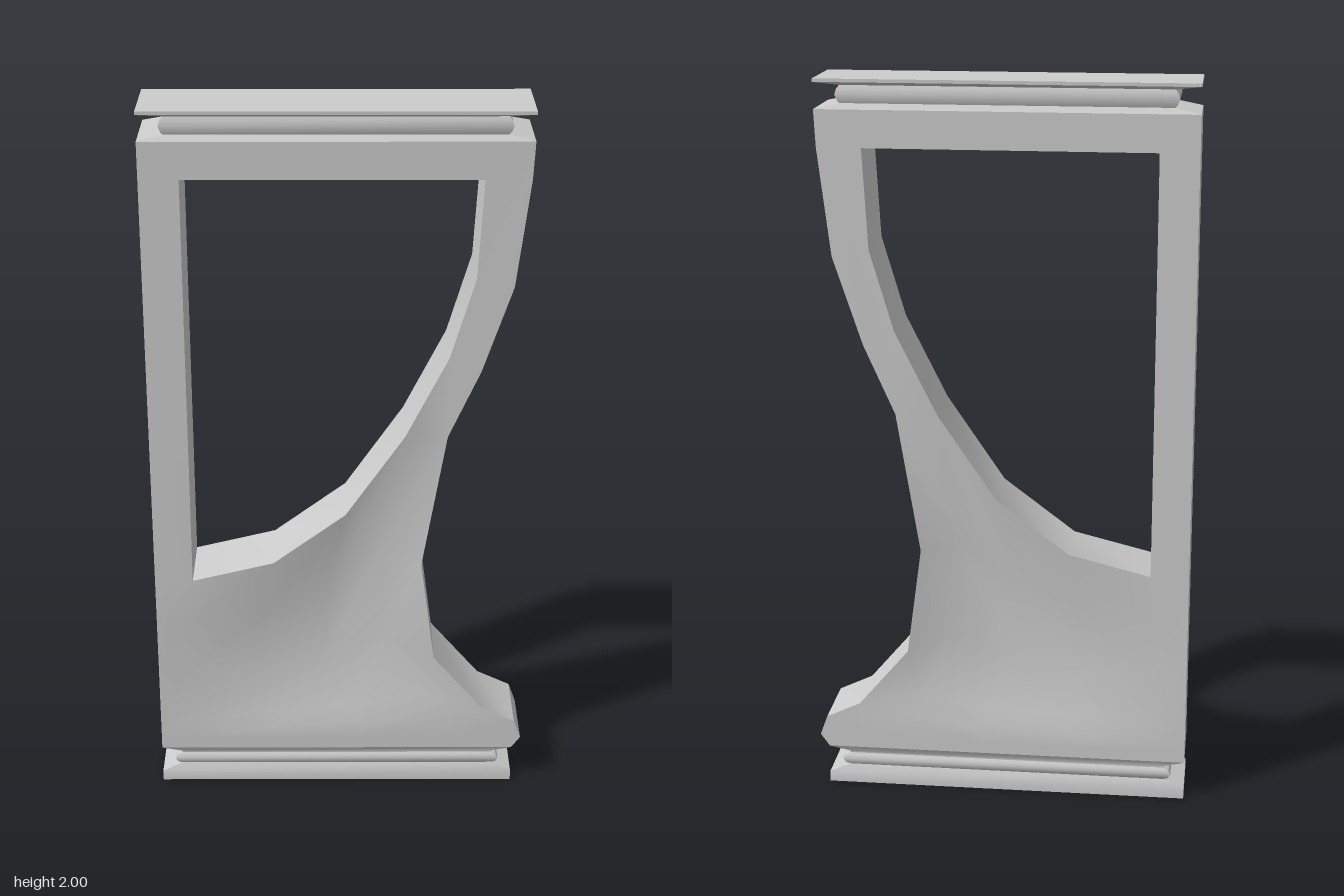
import * as THREE from 'three';
import { toCreasedNormals } from 'three/addons/utils/BufferGeometryUtils.js';

const LEFT = -0.52, RIGHT = 0.49, HALF = 0.1;

// Triangle soup to mesh, smooth except at sharp edges
function makeMesh(name, pos, crease) {
  const g = new THREE.BufferGeometry();
  g.setAttribute('position', new THREE.Float32BufferAttribute(pos, 3));
  const mesh = new THREE.Mesh(toCreasedNormals(g, crease),
    new THREE.MeshStandardMaterial({ color: 0xcccccc }));
  mesh.name = name;
  return mesh;
}
const quad = (out, a, b, c, d) => out.push(...a, ...b, ...c, ...a, ...c, ...d);

// Right edge of the lower panel, and of the curved arm above it
const footEdge = [[0.49, 0.11], [0.515, 0.145], [0.495, 0.2], [0.4, 0.245], [0.26, 0.41], [0.22, 0.71], [0.285, 1.1]];
const armEdge = [[0.37, 1.29], [0.45, 1.53], [0.485, 1.82], [0.49, 1.92]];
// Lower and right rim of the opening
const sill = [[LEFT, 0.66], [-0.415, 0.66], [-0.19, 0.715], [0.01, 0.865], [0.17, 1.1], [0.285, 1.1]];
const openingSide = [[0.285, 1.33], [0.35, 1.55], [0.365, 1.82], [-0.415, 1.82]];

// Dished lower panel: a patch blended between its four edges
function panelGrid() {
  const U = [0, 0.1, 0.32, 0.55, 0.8, 1], V = [0, 0.07, 0.16, 0.27, 0.52, 0.78, 1];
  const dishU = [0, 0.1, 0.75, 1, 0.9, 0], dishV = [0, 0, 0, 0.4, 1, 0.95, 0];
  const mix = (a, b, t) => a + (b - a) * t;
  return V.map((v, j) => U.map((u, i) => {
    const p = [0, 1].map((k) => {
      const bottom = k ? 0.11 : mix(LEFT, RIGHT, u);
      const left = k ? mix(0.11, 0.66, v) : LEFT;
      const corners = mix(
        mix(k ? 0.11 : LEFT, footEdge[0][k], u),
        mix(sill[0][k], sill[5][k], u), v);
      return mix(bottom, sill[i][k], v) + mix(left, footEdge[j][k], u) - corners;
    });
    return [...p, HALF - 0.04 * dishU[i] * dishV[j]];
  }));
}

function frameBody() {
  const front = [];
  const grid = panelGrid();
  for (let j = 0; j < grid.length - 1; j++)
    for (let i = 0; i < grid[0].length - 1; i++)
      quad(front, grid[j][i], grid[j][i + 1], grid[j + 1][i + 1], grid[j + 1][i]);

  // Post, head and arm around the opening
  const upper = [[LEFT, 0.66], [-0.415, 0.66], ...[...openingSide].reverse(),
    [0.17, 1.1], [0.285, 1.1], ...armEdge, [LEFT, 1.92]];
  const flat = new THREE.ShapeGeometry(new THREE.Shape(upper.map((p) => new THREE.Vector2(...p))))
    .toNonIndexed().translate(0, 0, HALF);
  front.push(...flat.attributes.position.array);

  // Back face mirrors the front, with its corners reversed
  const all = [...front];
  for (let t = 0; t < front.length; t += 9)
    for (const k of [0, 6, 3]) all.push(front[t + k], front[t + k + 1], -front[t + k + 2]);

  // Walls round the outside and inside the opening
  const wall = (loop) => loop.forEach(([x, y], i) => {
    const [nx, ny] = loop[(i + 1) % loop.length];
    quad(all, [x, y, HALF], [x, y, -HALF], [nx, ny, -HALF], [nx, ny, HALF]);
  });
  wall([[LEFT, 0.11], ...footEdge, ...armEdge, [LEFT, 1.92]]);
  wall([...sill.slice(1, 5), ...openingSide].reverse());
  return makeMesh('frameBody', all, 0.5);
}

// Rectangular moulding: each level is [y, side inset, front inset]
function moulding(name, levels) {
  const out = [];
  const rings = levels.map(([y, s, f]) => [
    [LEFT + s, y, HALF - f], [RIGHT - s, y, HALF - f],
    [RIGHT - s, y, f - HALF], [LEFT + s, y, f - HALF]]);
  for (let j = 0; j < rings.length - 1; j++)
    for (let i = 0; i < 4; i++) {
      const n = (i + 1) % 4;
      quad(out, rings[j][i], rings[j][n], rings[j + 1][n], rings[j + 1][i]);
    }
  quad(out, ...[...rings[0]].reverse());
  quad(out, ...rings[rings.length - 1]);
  return makeMesh(name, out, 0.6);
}

export function createModel() {
  const model = new THREE.Group();
  model.name = 'frame';
  model.add(frameBody());
  // Base plate and beaded neck
  model.add(moulding('baseMoulding', [[0, 0, 0], [0.03, 0, 0], [0.052, 0.057, 0.011],
    [0.058, 0.045, 0.006], [0.07, 0.038, 0.003], [0.08, 0.043, 0.006],
    [0.087, 0.057, 0.011], [0.092, 0.057, 0.011], [0.11, 0, 0]]));
  // Beaded neck and top plate
  model.add(moulding('topMoulding', [[1.92, 0, 0], [1.935, 0.068, 0.013], [1.942, 0.062, 0.01],
    [1.957, 0.056, 0.007], [1.972, 0.06, 0.009], [1.982, 0.068, 0.013],
    [1.991, 0, -0.006], [2, 0, -0.006]]));
  return model;
}
